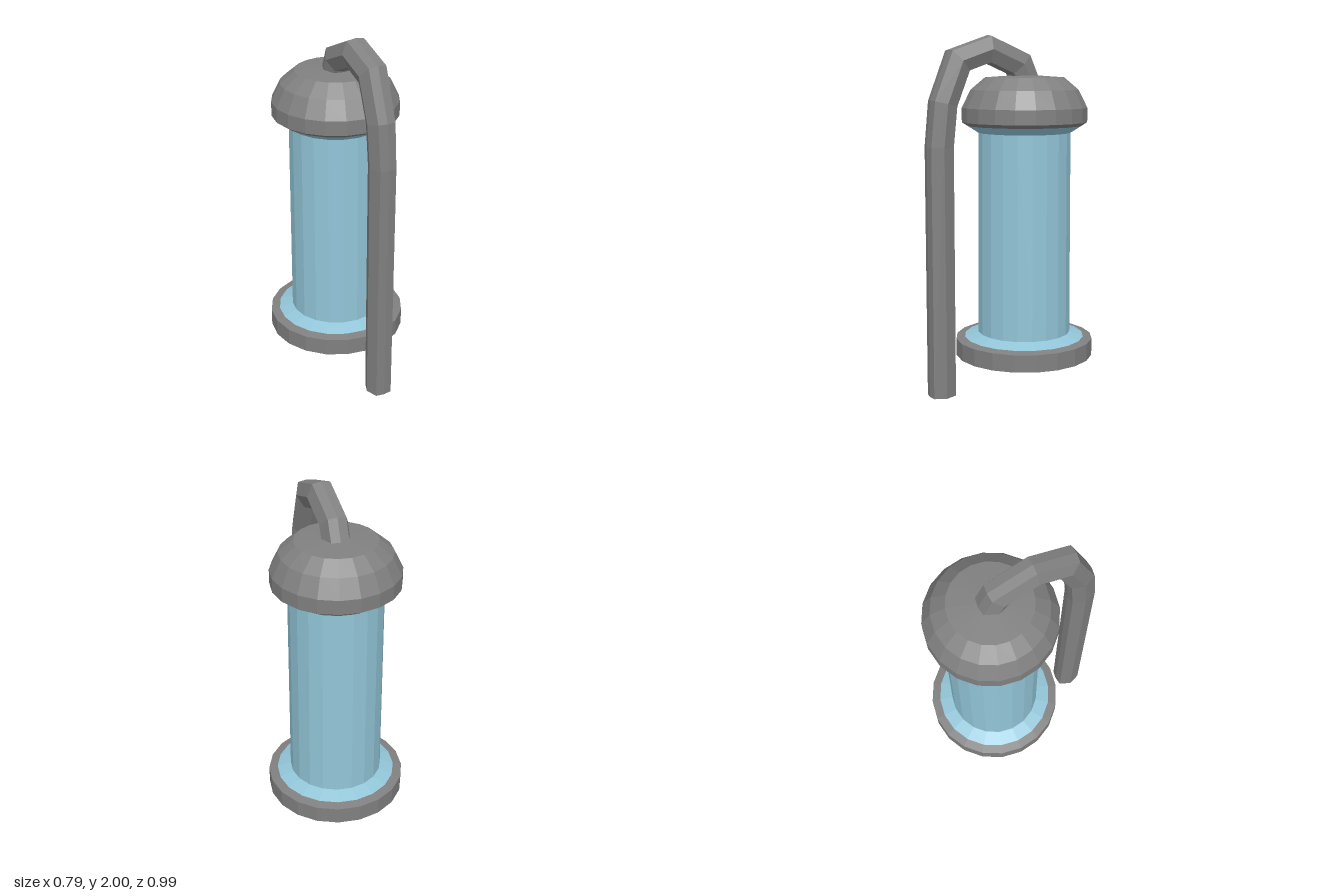
import * as THREE from 'three';

const SIDES = 20;
const AXIS_Z = -0.1; // the lamp hangs behind the post

const material = (color) =>
  new THREE.MeshStandardMaterial({ color, flatShading: true });

// Turned part from a bottom-to-top list of [radius, height]
function turned(name, profile, mat) {
  const points = profile.map(([r, y]) => new THREE.Vector2(r, y));
  const mesh = new THREE.Mesh(new THREE.LatheGeometry(points, SIDES), mat);
  mesh.name = name;
  mesh.position.z = AXIS_Z;
  return mesh;
}

// Bar swept along [z, y] points, with mitred joints and closed ends
function sweptBar(path, section) {
  const pts = path.map(([z, y]) => new THREE.Vector2(z, y));
  const n = section.length;
  const positions = [];
  const index = [];
  pts.forEach((p, i) => {
    const a = p.clone().sub(pts[Math.max(i - 1, 0)]).normalize();
    const b = pts[Math.min(i + 1, pts.length - 1)].clone().sub(p).normalize();
    const dir = a.clone().add(b).normalize();
    const stretch = 1 / dir.dot(i ? a : b);
    const widen = 1 + 0.08 * Math.min(1, Math.max(0, (p.y - 1.4) / 0.4));
    // the outward side of the bend is (dir.y, -dir.x) in the z, y plane
    for (const [x, out] of section) {
      positions.push(x * widen, p.y - dir.x * out * stretch, p.x + dir.y * out * stretch);
    }
  });
  for (let i = 0; i < pts.length - 1; i++) {
    for (let j = 0; j < n; j++) {
      const a = i * n + j, b = i * n + (j + 1) % n;
      index.push(a, b, b + n, a, b + n, a + n);
    }
  }
  const last = (pts.length - 1) * n;
  for (let j = 1; j < n - 1; j++) {
    index.push(0, j + 1, j, last, last + j, last + j + 1);
  }
  const geometry = new THREE.BufferGeometry();
  geometry.setAttribute('position', new THREE.Float32BufferAttribute(positions, 3));
  geometry.setIndex(index);
  geometry.computeVertexNormals();
  return geometry;
}

export function createModel() {
  const model = new THREE.Group();
  model.name = 'hangingLantern';
  const metal = material(0x808080);
  const glass = material(0x92c5d8);

  // Base disc with a narrow rim
  model.add(turned('base', [
    [0, 0.18], [0.395, 0.18], [0.395, 0.278], [0.345, 0.288],
  ], metal));

  // Glass tube, flared at both ends
  model.add(turned('glass', [
    [0.345, 0.288], [0.266, 0.315], [0.262, 1.465], [0.325, 1.505],
  ], glass));

  // Domed cap
  model.add(turned('cap', [
    [0.325, 1.505], [0.355, 1.525], [0.355, 1.605], [0.305, 1.705],
    [0.225, 1.772], [0, 1.788],
  ], metal));

  // Curved post: flattened hexagon with slightly crowned front and back
  const section = [
    [0, 0.073], [-0.047, 0.066], [-0.073, 0], [-0.047, -0.066],
    [0, -0.073], [0.047, -0.066], [0.073, 0], [0.047, 0.066],
  ].reverse();
  const path = [
    [0.423, 0], [0.423, 1.4], [0.4, 1.635], [0.31, 1.865],
    [0.13, 1.926], [-0.06, 1.845], [-0.115, 1.72],
  ];
  const post = new THREE.Mesh(sweptBar(path, section), metal);
  post.name = 'post';
  model.add(post);

  return model;
}
